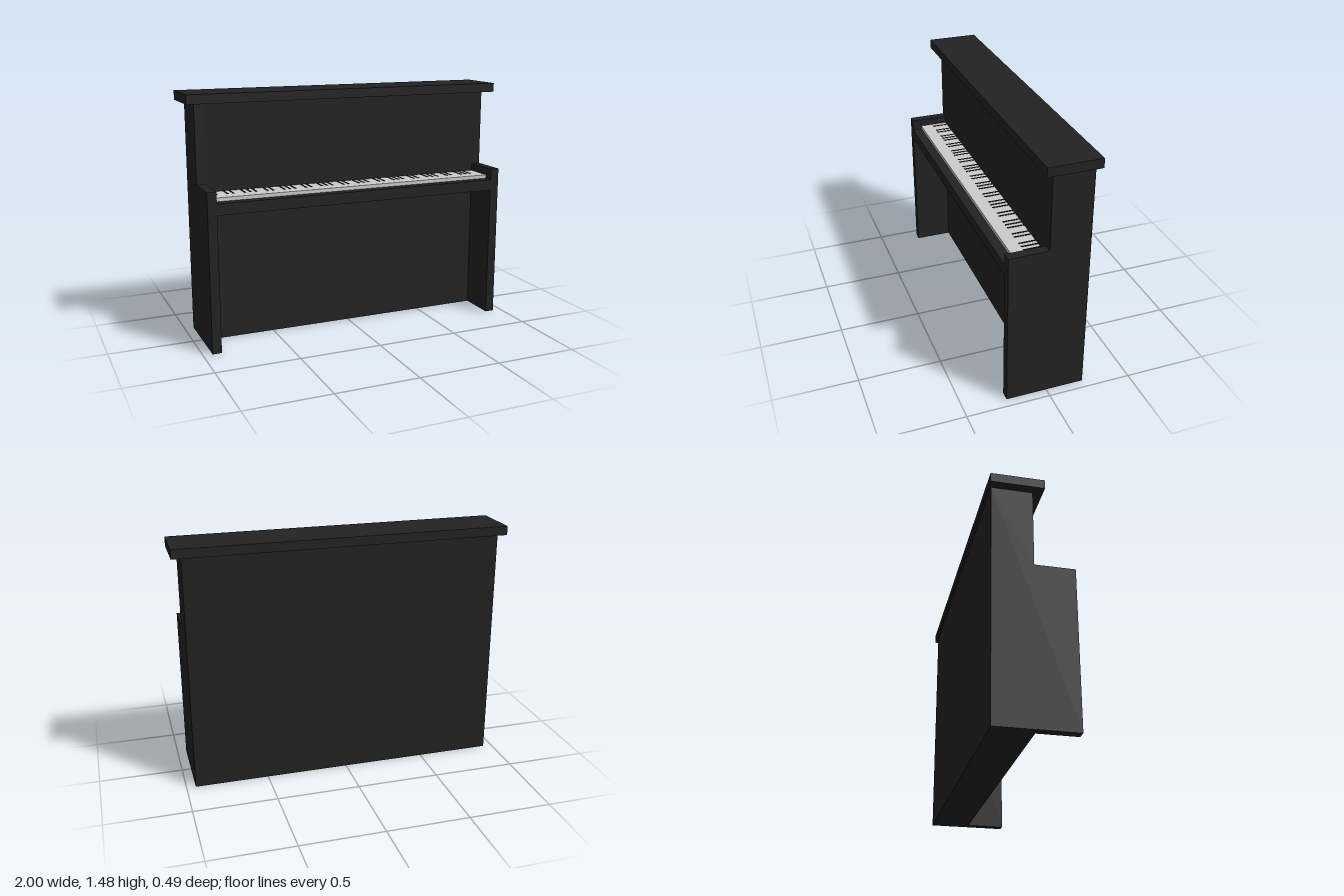
import * as THREE from 'three';

export function createModel() {
  const group = new THREE.Group();
  const caseBlack = new THREE.MeshStandardMaterial({ color: 0x222222 });
  caseBlack.name = 'caseBlack';
  const ivory = new THREE.MeshStandardMaterial({ color: 0xcccccc });
  ivory.name = 'ivory';
  const ebony = new THREE.MeshStandardMaterial({ color: 0x111111 });
  ebony.name = 'ebony';

  // Box given by its minimum and maximum corners
  const box = (name, material, [x0, y0, z0], [x1, y1, z1], parent = group) => {
    const mesh = new THREE.Mesh(new THREE.BoxGeometry(x1 - x0, y1 - y0, z1 - z0), material);
    mesh.position.set((x0 + x1) / 2, (y0 + y1) / 2, (z0 + z1) / 2);
    mesh.name = name;
    parent.add(mesh);
    return mesh;
  };

  const inner = 0.89, outer = 0.945, back = -0.228, panel = 0.01, front = 0.243;

  // Cabinet between the side panels, and the overhanging lid
  box('cabinet', caseBlack, [-inner, 0, back], [inner, 1.42, panel]);
  box('lid', caseBlack, [-1, 1.42, -0.243], [1, 1.475, 0.067]);

  // Stepped side panels: deep below the arms, shallow above
  const profile = new THREE.Shape([
    [back, 0], [front, 0], [front, 0.95], [panel, 0.95], [panel, 1.42], [back, 1.42],
  ].map(([z, y]) => new THREE.Vector2(-z, y)));
  const sideGeometry = new THREE.ExtrudeGeometry(profile, { depth: outer - inner, bevelEnabled: false });
  sideGeometry.rotateY(Math.PI / 2); // shape x runs to -z, depth runs to +x
  for (const [name, x] of [['leftSide', inner], ['rightSide', -outer]]) {
    const side = new THREE.Mesh(sideGeometry, caseBlack);
    side.name = name;
    side.position.x = x;
    group.add(side);
  }

  // Shelf carrying the keyboard
  box('keyBed', caseBlack, [-inner, 0.815, panel], [inner, 0.882, front]);

  // Keyboard: one ivory slab with slim black keys in the usual 88-key pattern
  const keyboard = new THREE.Group();
  keyboard.name = 'keyboard';
  group.add(keyboard);
  const keyTop = 0.904, count = 52, pitch = 2 * inner / count;
  box('whiteKeys', ivory, [-inner, 0.882, panel], [inner, keyTop, 0.185], keyboard);
  const noBlackAfter = [1, 4]; // B and E, counting from A
  for (let i = 0; i < count - 2; i++) {
    if (noBlackAfter.includes(i % 7)) continue;
    const x = -inner + (i + 1) * pitch;
    box('blackKey', ebony, [x - 0.005, keyTop - 0.01, panel], [x + 0.005, keyTop + 0.002, 0.11], keyboard);
  }

  return group;
}
